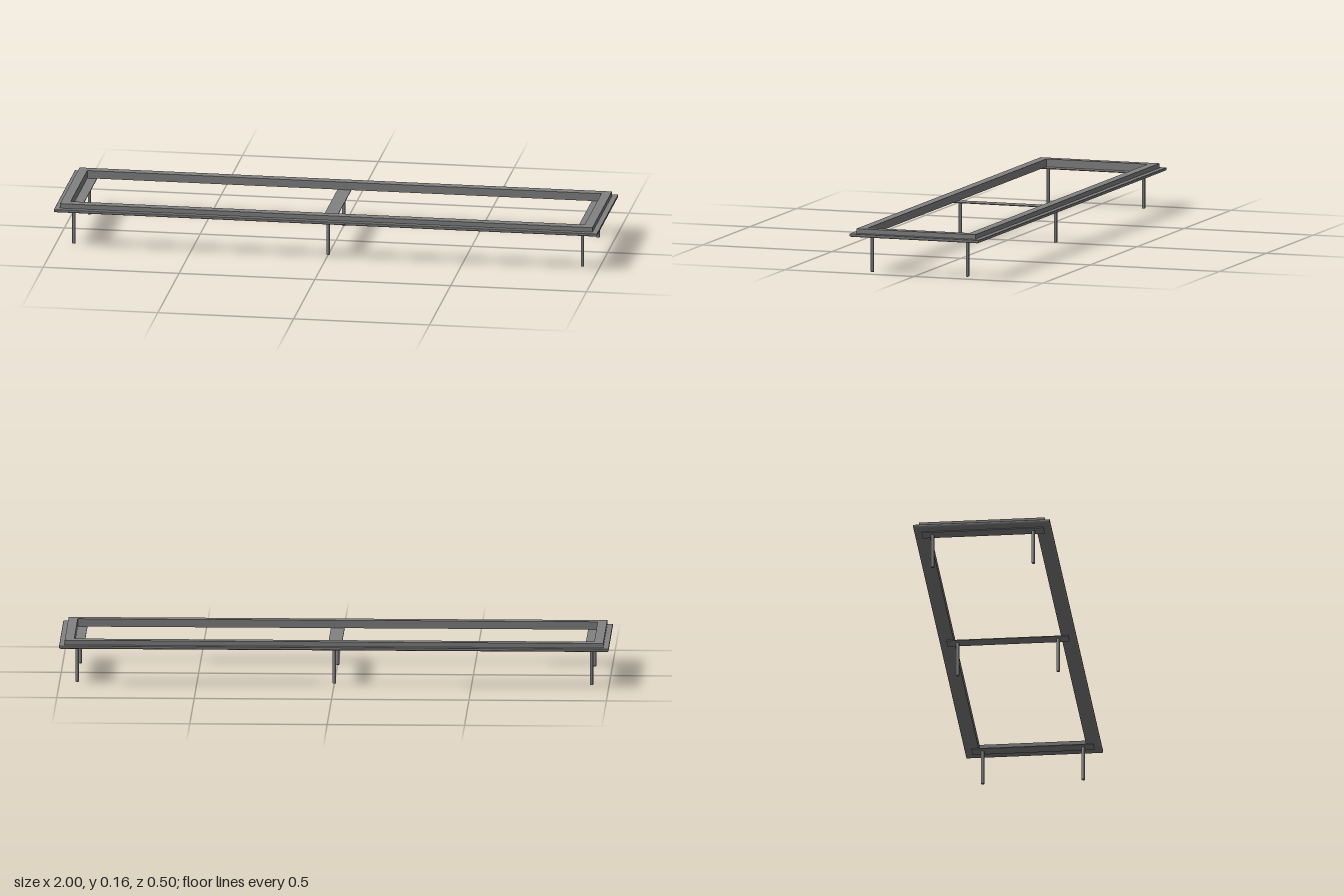
import * as THREE from 'three';

const material = new THREE.MeshStandardMaterial({ color: 0x828282 });

function add(group, name, geometry, x = 0, y = 0, z = 0) {
  const mesh = new THREE.Mesh(geometry, material);
  mesh.name = name;
  mesh.position.set(x, y, z);
  group.add(mesh);
}

// Mitred rectangular ring; the profile is a closed loop of [inset, y] points
// that runs up the inner side and down the outer side.
function mitredRing(halfX, halfZ, profile) {
  const corners = [[1, 1], [1, -1], [-1, -1], [-1, 1]];
  const at = (c, [inset, y]) => [c[0] * (halfX - inset), y, c[1] * (halfZ - inset)];
  const positions = [];
  corners.forEach((c, i) => {
    const next = corners[(i + 1) % 4];
    profile.forEach((p, j) => {
      const q = profile[(j + 1) % profile.length];
      const [a, b, d, e] = [at(c, p), at(next, p), at(next, q), at(c, q)];
      positions.push(...a, ...d, ...b, ...a, ...e, ...d);
    });
  });
  const geometry = new THREE.BufferGeometry();
  geometry.setAttribute('position', new THREE.Float32BufferAttribute(positions, 3));
  geometry.computeVertexNormals();
  return geometry;
}

export function createModel() {
  const model = new THREE.Group();
  model.name = 'lowFrame';

  // Wide lower rim with its bottom outer edge rounded over
  const rim = [[0.054, 0.133], [0.054, 0.145], [0.001, 0.145], [0, 0.144],
    [0, 0.139], [0.001, 0.136], [0.003, 0.134], [0.006, 0.133]];
  // Narrower raised border standing on the rim
  const border = [[0, 0.145], [0.034, 0.145], [0.034, 0.162], [0, 0.162]];
  add(model, 'lowerRim', mitredRing(1, 0.25, rim));
  add(model, 'raisedBorder', mitredRing(0.98, 0.23, border));

  // Slightly rounded foot and straight shaft
  const leg = new THREE.LatheGeometry([[0, 0], [0.005, 0], [0.0063, 0.0015], [0.0063, 0.131], [0, 0.131]]
    .map(([x, y]) => new THREE.Vector2(x, y)), 16);

  // Three flat cross braces, each on a pair of legs
  for (const x of [-0.936, 0, 0.936]) {
    add(model, 'crossBrace', new THREE.BoxGeometry(0.05, 0.003, 0.446), x, 0.1315, 0);
    for (const z of [-0.184, 0.184]) add(model, 'leg', leg, x, 0, z);
  }
  return model;
}
